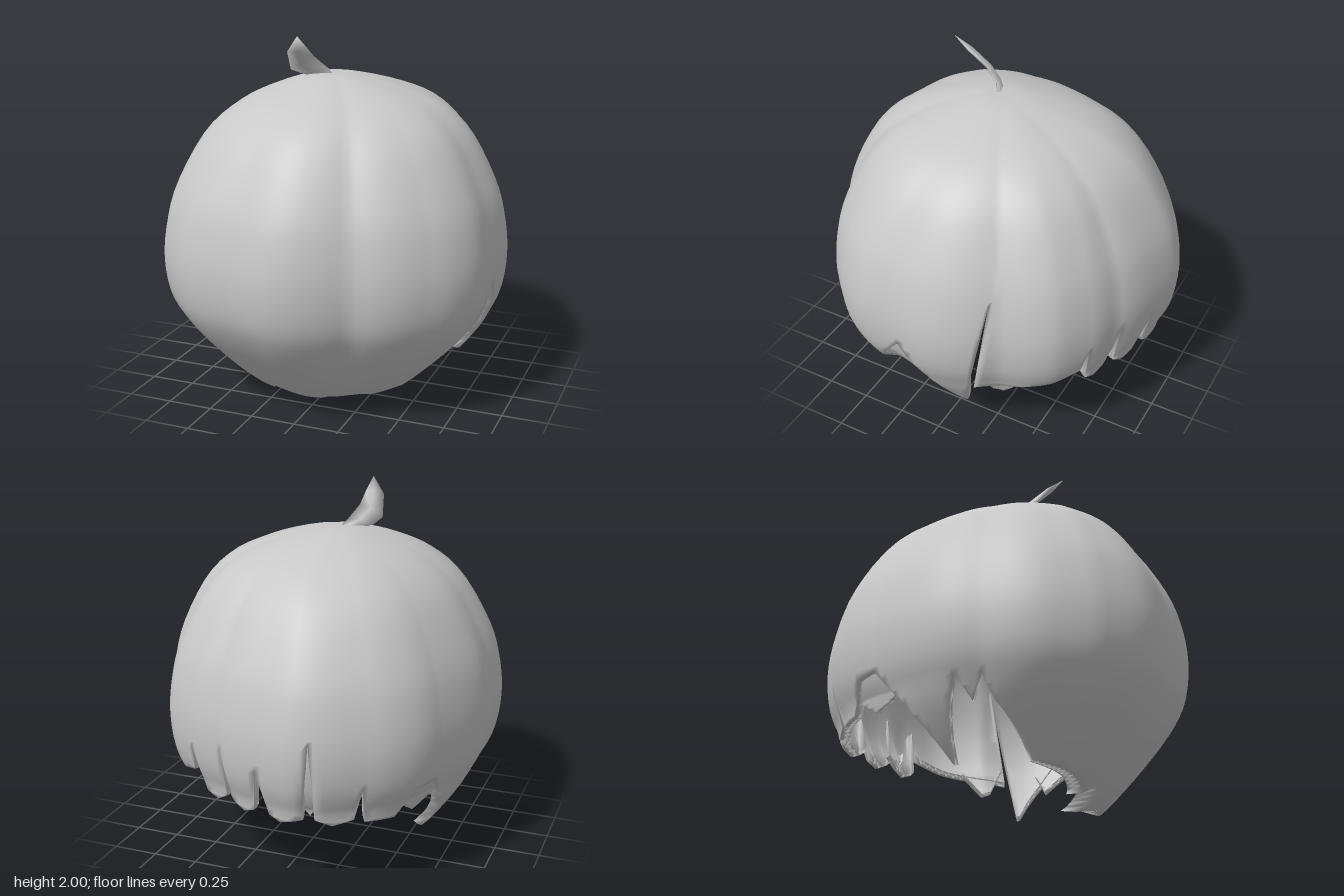
import * as THREE from 'three';
import { mergeVertices } from 'three/addons/utils/BufferGeometryUtils.js';

const RAD = Math.PI / 180;
const hairGrey = new THREE.MeshStandardMaterial({ color: 0xc8c8c8, side: THREE.DoubleSide });
hairGrey.name = 'hair grey';

// Widest outline seen from above (x, z), stored as angle from the front and radius
const outline = [
  [-0.17, -1], [0.07, -0.96], [0.3, -0.85], [0.44, -0.82], [0.64, -0.68], [0.77, -0.4], [0.85, -0.28],
  [0.92, 0], [0.9, 0.2], [0.88, 0.35], [0.78, 0.57], [0.63, 0.71], [0.35, 0.83], [0.23, 0.92],
  [0.1, 0.97], [-0.05, 0.99], [-0.28, 0.95], [-0.58, 0.85], [-0.8, 0.67], [-0.87, 0.5],
  [-0.93, 0.27], [-0.93, 0.1], [-0.9, -0.2], [-0.8, -0.5], [-0.6, -0.8], [-0.4, -0.92],
].map(([x, z]) => [Math.atan2(x, z) / RAD, Math.hypot(x, z)]).sort((a, b) => a[0] - b[0]);
const ring = [
  [outline.at(-1)[0] - 360, outline.at(-1)[1]], ...outline, [outline[0][0] + 360, outline[0][1]],
];

// Side profile from crown to fringe: share of the outline radius, height
const profile = new THREE.SplineCurve([
  [0, 1.77], [0.15, 1.765], [0.4, 1.7], [0.6, 1.61], [0.77, 1.46], [0.92, 1.2], [0.98, 1], [1, 0.8],
  [0.97, 0.6], [0.89, 0.45], [0.77, 0.3], [0.63, 0.15], [0.5, 0.05], [0.36, 0],
].map(([f, y]) => new THREE.Vector2(f, y)));

function lerpTable(table, a) {
  let i = 1;
  while (i < table.length - 1 && table[i][0] < a) i++;
  const [a0, v0] = table[i - 1], [a1, v1] = table[i];
  return v0 + (v1 - v0) * (a - a0) / (a1 - a0);
}

function profileAt(height) {
  let lo = 0, hi = 1;
  for (let i = 0; i < 24; i++) {
    const mid = (lo + hi) / 2;
    if (profile.getPoint(mid).y > height) lo = mid; else hi = mid;
  }
  return lo;
}

// Point on the hair surface, sunk inwards by depth
function hairPoint(angle, u, depth) {
  const { x: f, y } = profile.getPoint(u);
  // the side slits lean backwards as they rise
  const lean = Math.sign(angle) * 12 * Math.exp(-(((Math.abs(angle) - 108) / 15) ** 2));
  let a = angle + lean * (y - 0.45) * (y < 1.3 ? 1 : Math.max(0, (1.77 - y) / 0.47));
  a = ((a + 540) % 360) - 180;
  // side and rear locks hang straighter than the fringe
  const flare = 1 + 0.45 * Math.max(0, 0.5 - y) * Math.max(0, 0.35 - Math.cos(a * RAD));
  const strand = 1 + 0.008 * f * Math.cos(11 * a * RAD);
  const r = Math.max(0, lerpTable(ring, a) * f * strand * flare - depth * Math.min(1, f * 2));
  const shift = 1 - Math.min(1, f / 0.6);
  return [
    r * Math.sin(a * RAD) - 0.06 * shift,
    y - depth * Math.max(0, (y - 0.9) / 0.87),
    r * Math.cos(a * RAD) + 0.04 * shift,
  ];
}

// Joins a row of equal cross-sections into a smooth skin
function skin(sections, closed) {
  const n = sections[0].length, index = [];
  for (let j = 0; j < sections.length - 1; j++) {
    for (let i = 0; i < (closed ? n : n - 1); i++) {
      const k = (i + 1) % n;
      const a = j * n + i, b = j * n + k, c = a + n, d = b + n;
      index.push(a, b, c, c, b, d);
    }
  }
  let geo = new THREE.BufferGeometry();
  geo.setAttribute('position', new THREE.Float32BufferAttribute(sections.flat(2), 3));
  geo.setIndex(index);
  geo = mergeVertices(geo, 1e-4);
  geo.computeVertexNormals();
  return geo;
}

// Thin sheet of hair whose lower edge follows [angle, height] points and rolls inwards
function hairSheet(name, hem, startHeight, depth, roll) {
  const angles = [];
  hem.forEach(([a], i) => {
    if (!i) return angles.push(a);
    const a0 = hem[i - 1][0], steps = Math.ceil((a - a0) / 3);
    for (let s = 1; s <= steps; s++) angles.push(a0 + (a - a0) * s / steps);
  });
  const rows = 44, thickness = 0.015, start = startHeight > 1.76 ? 0 : profileAt(startHeight);
  const lowest = profileAt(Math.min(...hem.map(([, y]) => y)));
  const sections = angles.map((a) => {
    const end = profileAt(lerpTable(hem, a));
    const outer = [], inner = [];
    for (let i = 0; i <= rows; i++) {
      // level rows, cut off at the hem
      const u = Math.min(end, start + (lowest - start) * i / rows);
      outer.push(hairPoint(a, u, depth));
      inner.unshift(hairPoint(a, u, depth + thickness));
    }
    // the fringe rolls further in than the rest
    const rim = hairPoint(a, end, depth + roll * (1 + 1.6 * Math.max(0, Math.cos(a * RAD))));
    rim[1] += 0.015;
    return [...outer, rim, ...inner];
  });
  const mesh = new THREE.Mesh(skin(sections, false), hairGrey);
  mesh.name = name;
  return mesh;
}

export function createModel() {
  const model = new THREE.Group();
  model.name = 'hair';

  // Main cap: fringe low at the front, pointed side locks, cut locks at the back
  model.add(hairSheet('hairCap', [
    [-180, 0.5], [-179, 0.45], [-175, 0.42], [-167, 0.46], [-165, 0.9], [-163.5, 0.46], [-158, 0.42],
    [-151, 0.45], [-149, 0.64], [-147.5, 0.43], [-137, 0.43], [-130, 0.58], [-122, 0.6], [-112, 0.35],
    [-105, 0.13], [-99, 0.32], [-93, 0.5], [-88, 0.38], [-84, 0.5], [-80, 0.38], [-72, 0.26],
    [-64, 0.14], [-42, 0.1], [-28, 0.05], [-22, 0.1], [-8, 0.005], [4, 0.03], [11, 0.07], [22, 0.06],
    [30, 0.09], [38, 0.09], [52, 0.15], [66, 0.42], [81, 0.7], [92, 0.43], [103, 0.2], [105, 0.19],
    [106, 0.5], [107, 1.07], [108, 0.45], [118, 0.46], [133, 0.5], [147, 0.56], [149, 0.72],
    [151, 0.45], [156, 0.42], [161, 0.46], [163, 0.75], [165, 0.46], [170, 0.42], [175, 0.45],
    [178, 0.7], [180, 0.5],
  ], 1.77, 0, 0.05));

  // Short locks lying under the cap
  const locks = [
    ['rearSideLock', [[108, 0.55], [116, 0.37], [120, 0.35], [127, 0.5]], 0.75],
    ['leftSideLock', [[74, 0.55], [83, 0.45], [89, 0.37], [94, 0.5]], 0.85],
    ['rightRearLock', [[-136, 0.5], [-128, 0.42], [-122, 0.45], [-114, 0.5]], 0.75],
    ['backLock', [[157, 0.55], [162, 0.43], [166, 0.5]], 0.9],
    ['backRightLock', [[-170, 0.6], [-165, 0.47], [-160, 0.6]], 1.05],
  ];
  for (const [name, hem, top] of locks) model.add(hairSheet(name, hem, top, 0.03, 0.03));

  // Upright tuft on the crown: left edge, right edge
  const tuftEdges = [
    [[-0.11, 1.74, 0.04], [-0.03, 1.75, 0.06]],
    [[-0.21, 1.77, 0.13], [-0.08, 1.8, 0.07]],
    [[-0.24, 1.8, 0.2], [-0.12, 1.87, 0.16]],
    [[-0.21, 1.91, 0.31], [-0.12, 1.93, 0.26]],
    [[-0.13, 2, 0.36], [-0.13, 2, 0.36]],
  ];
  const tuftSections = tuftEdges.map(([l, r], i) => {
    const mid = (s) => l.map((v, k) => (v + r[k]) / 2 + s * [0, 0.015, -0.015][k] * (i < 4 ? 1 : 0));
    return [l, mid(-1), r, mid(1)];
  });
  const tuft = new THREE.Mesh(skin(tuftSections, true), hairGrey);
  tuft.name = 'crownTuft';
  model.add(tuft);

  return model;
}
